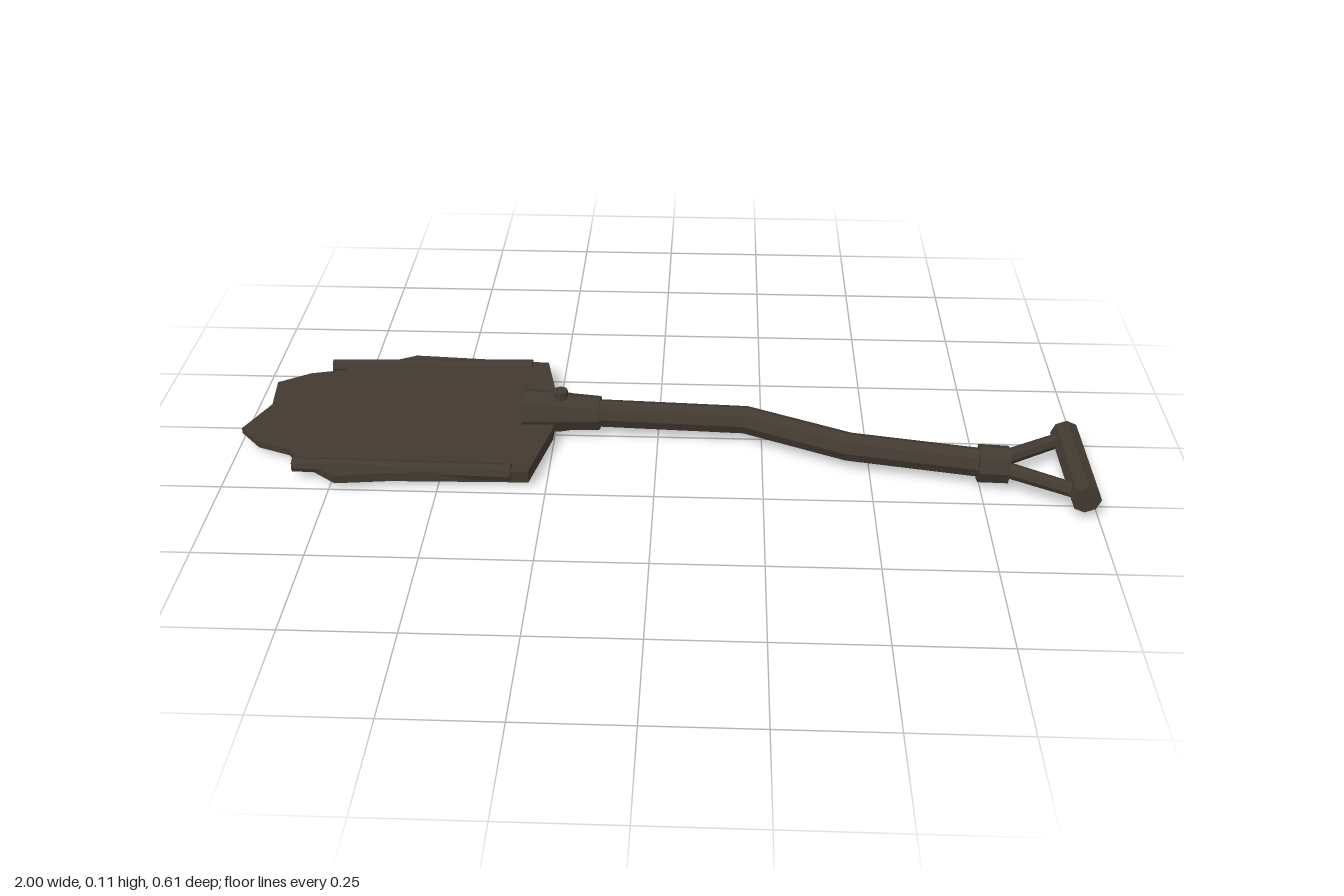
import * as THREE from 'three';

const steel = new THREE.MeshStandardMaterial({ color: 0x423a31, flatShading: true });
steel.name = 'dark brown steel';

const SIDES = 8;
const UP = new THREE.Vector3(0, 1, 0);

// Closed octagonal bar with mitred bends, through sections [x, y, z, radius] in a level plane
function bar(sections) {
  const centres = sections.map(([x, y, z]) => new THREE.Vector3(x, y, z));
  const last = centres.length - 1;
  const positions = [];
  const index = [];
  centres.forEach((c, i) => {
    const before = c.clone().sub(centres[Math.max(i - 1, 0)]).normalize();
    const after = centres[Math.min(i + 1, last)].clone().sub(c).normalize();
    const side = before.add(after).normalize().cross(UP).normalize();
    for (let k = 0; k < SIDES; k++) {
      const a = (k / SIDES) * Math.PI * 2;
      const r = sections[i][3];
      const p = c.clone().addScaledVector(side, r * Math.cos(a)).addScaledVector(UP, r * Math.sin(a));
      positions.push(p.x, p.y, p.z);
    }
  });
  for (let k = 0; k < SIDES; k++) {
    const n = (k + 1) % SIDES;
    for (let i = 0; i < last; i++) {
      const a = i * SIDES;
      const b = a + SIDES;
      index.push(a + k, b + k, a + n, a + n, b + k, b + n);
    }
    // End caps as fans
    if (k > 0 && k < SIDES - 1) {
      const e = last * SIDES;
      index.push(0, k, k + 1, e, e + k + 1, e + k);
    }
  }
  const g = new THREE.BufferGeometry();
  g.setAttribute('position', new THREE.Float32BufferAttribute(positions, 3));
  g.setIndex(index);
  const flat = g.toNonIndexed();
  flat.computeVertexNormals();
  return flat;
}

// Worn blade: ragged outline extruded upward, thinning toward the tip
function bladeGeometry() {
  const outline = [
    [-1, 0.05], [-0.945, 0.11], [-0.865, 0.14], [-0.835, 0.175], [-0.735, 0.25], [-0.61, 0.235],
    [-0.29, 0.225], [-0.25, 0.04], [-0.25, -0.09], [-0.29, -0.27], [-0.635, -0.303],
    [-0.715, -0.265], [-0.775, -0.235], [-0.89, -0.21], [-0.965, -0.165], [-0.953, -0.06],
  ];
  const shape = new THREE.Shape(outline.map(([x, z]) => new THREE.Vector2(x, -z)));
  const g = new THREE.ExtrudeGeometry(shape, { depth: 1, bevelEnabled: false });
  g.rotateX(-Math.PI / 2);
  const p = g.attributes.position;
  for (let i = 0; i < p.count; i++) {
    const t = (p.getX(i) + 1) / 0.75;
    p.setY(i, p.getY(i) > 0.5 ? 0.034 + 0.012 * t : 0.02 - 0.005 * t);
  }
  g.computeVertexNormals();
  return g;
}

export function createModel() {
  const model = new THREE.Group();
  model.name = 'spade';
  const add = (name, geometry) => {
    const mesh = new THREE.Mesh(geometry, steel);
    mesh.name = name;
    model.add(mesh);
    return mesh;
  };

  add('blade', bladeGeometry());

  // Rolled foot rails along both blade edges
  add('backRail', bar([[-0.84, 0.037, -0.248, 0.017], [-0.33, 0.037, -0.258, 0.021]]));
  add('frontRail', bar([[-0.84, 0.037, 0.203, 0.017], [-0.33, 0.037, 0.217, 0.021]]));

  // Socket and its rivet
  add('socket', bar([
    [-0.325, 0.055, -0.025, 0.054], [-0.24, 0.055, -0.023, 0.051],
    [-0.21, 0.055, -0.022, 0.046], [-0.14, 0.055, -0.019, 0.042],
  ]));
  const rivet = add('rivet', new THREE.CylinderGeometry(0.018, 0.018, 0.026, 8));
  rivet.position.set(-0.235, 0.103, -0.02);

  // Cranked shaft
  add('shaft', bar([
    [-0.2, 0.055, -0.022, 0.034], [0.21, 0.055, -0.002, 0.034],
    [0.45, 0.055, 0.106, 0.034], [0.78, 0.055, 0.166, 0.034],
  ]));

  // Handle collar, forked arms and cross grip
  add('handleCollar', bar([[0.743, 0.055, 0.163, 0.045], [0.812, 0.055, 0.167, 0.044]]));
  add('backArm', bar([[0.79, 0.055, 0.15, 0.019], [0.96, 0.055, 0.05, 0.017]]));
  add('frontArm', bar([[0.79, 0.055, 0.18, 0.019], [0.96, 0.055, 0.274, 0.017]]));
  add('crossGrip', bar([[0.965, 0.055, 0.027, 0.034], [0.965, 0.055, 0.302, 0.034]]));

  return model;
}
